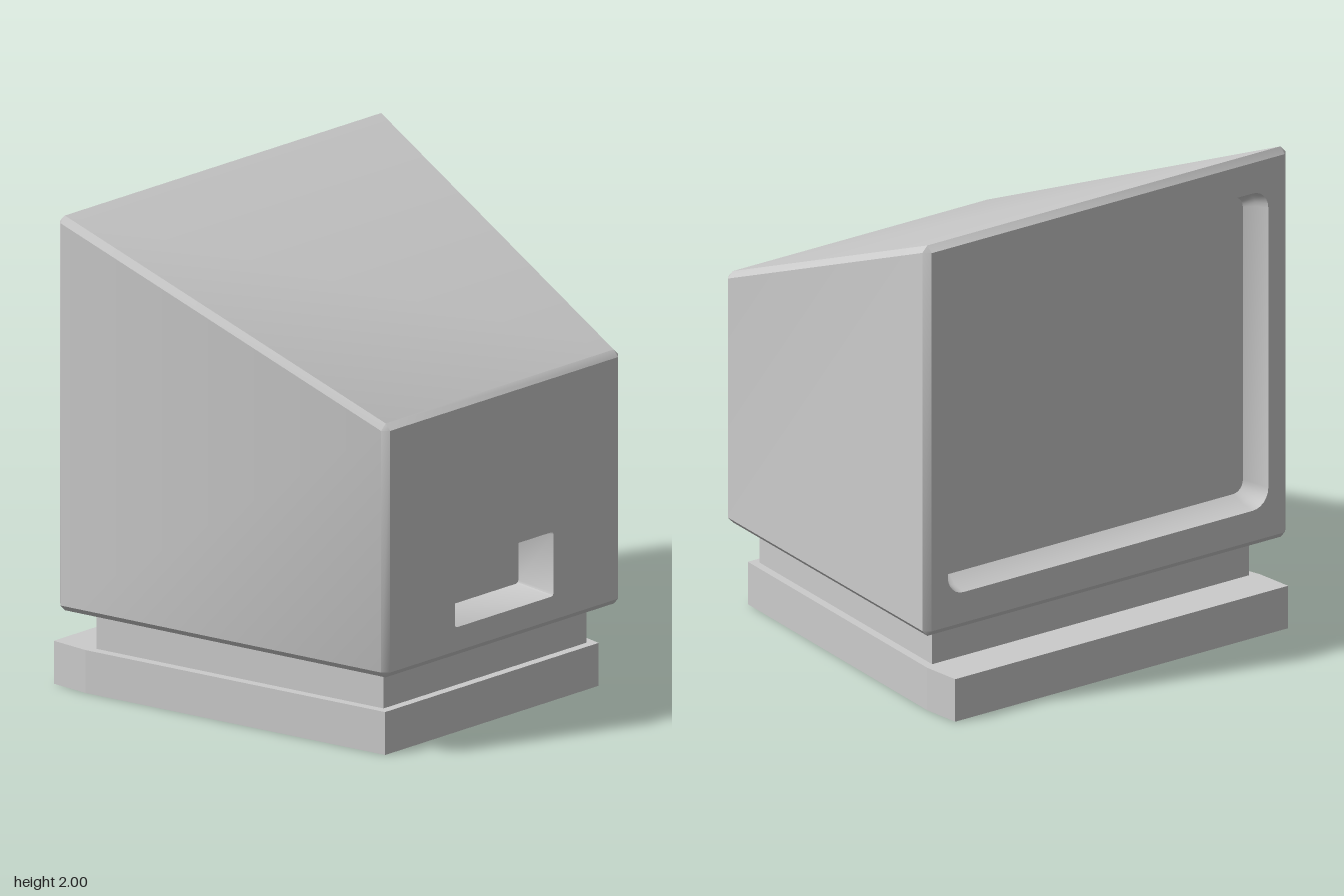
import * as THREE from 'three';
import { mergeGeometries, toCreasedNormals } from 'three/addons/utils/BufferGeometryUtils.js';

const grey = new THREE.MeshStandardMaterial({ color: 0xcccccc });

// Rectangle in (z, y) with rounded (seg > 1) or chamfered (seg = 1) corners
function rect(hz, y0, y1, r, seg = 1) {
  const pts = [];
  const corners = [[hz - r, y0 + r], [hz - r, y1 - r], [r - hz, y1 - r], [r - hz, y0 + r]];
  corners.forEach(([z, y], c) => {
    for (let i = 0; i <= seg; i++) {
      const a = (c - 1 + i / seg) * Math.PI / 2;
      pts.push(new THREE.Vector2(z + r * Math.cos(a), y + r * Math.sin(a)));
    }
  });
  return pts;
}

function fromTriangles(positions) {
  const g = new THREE.BufferGeometry();
  g.setAttribute('position', new THREE.Float32BufferAttribute(positions, 3));
  return g;
}

// Skin between sections [x, points]; increasing x faces outward, decreasing x inward
function loft(...sections) {
  const out = [];
  for (let s = 0; s + 1 < sections.length; s++) {
    const [xa, A] = sections[s], [xb, B] = sections[s + 1];
    for (let i = 0; i < A.length; i++) {
      const j = (i + 1) % A.length;
      const a = [xa, A[i].y, A[i].x], a2 = [xa, A[j].y, A[j].x];
      const b = [xb, B[i].y, B[i].x], b2 = [xb, B[j].y, B[j].x];
      if (B[i].distanceTo(B[j]) > 1e-5) out.push(...a, ...b, ...b2);
      if (A[i].distanceTo(A[j]) > 1e-5) out.push(...a, ...b2, ...a2);
    }
  }
  return fromTriangles(out);
}

// Flat panel at x with an optional hole, facing -x or +x
function panel(x, outline, hole, facing) {
  const shape = new THREE.Shape(outline);
  if (hole) shape.holes.push(new THREE.Path(hole));
  const g = new THREE.ShapeGeometry(shape).toNonIndexed();
  const p = g.attributes.position, out = [];
  for (let t = 0; t < p.count; t += 3) {
    for (const k of facing < 0 ? [0, 1, 2] : [0, 2, 1]) out.push(x, p.getY(t + k), p.getX(t + k));
  }
  return fromTriangles(out);
}

// Horizontal slab from a plan half-outline of [x, halfWidth] points
function slab(half, y0, y1) {
  const pts = [...half.map(([x, z]) => new THREE.Vector2(x, -z)),
    ...[...half].reverse().map(([x, z]) => new THREE.Vector2(x, z))];
  const g = new THREE.ExtrudeGeometry(new THREE.Shape(pts), { depth: y1 - y0, bevelEnabled: false });
  return g.rotateX(-Math.PI / 2).translate(0, y0, 0);
}

export function createModel() {
  const model = new THREE.Group();
  const add = (name, geometry) => {
    const mesh = new THREE.Mesh(geometry, grey);
    mesh.name = name;
    model.add(mesh);
  };

  // Tapered housing with chamfered edges, a screen opening and a rear pocket
  const c = 0.026;
  const frontEnd = rect(0.94 - c, 0.345 + c, 2 - c, 0);
  const backEnd = rect(0.685 - c, 0.345 + c, 1.41 - c, 0);
  const opening = rect(0.83, 0.5, 1.845, 0.08, 6);
  const pocketRim = rect(0.285, 0.47, 0.74, 0.012, 2);
  const pocketFloor = rect(0.265, 0.49, 0.72, 0.012, 2);
  const housing = mergeGeometries([
    loft([-0.75, frontEnd], [-0.724, rect(0.94, 0.345, 2, c)],
      [0.8, rect(0.685, 0.345, 1.41, c)], [0.825, backEnd]),
    panel(-0.75, frontEnd, opening, -1),
    panel(0.825, backEnd, pocketRim, 1),
    loft([0.825, pocketRim], [0.65, pocketFloor]),
    panel(0.65, pocketFloor, null, 1),
  ]);
  add('housing', toCreasedNormals(housing, 0.68));

  // Stepped bezel running in from the opening to the screen
  const glass = rect(0.785, 0.545, 1.8, 0.05, 6);
  add('screenBezel', toCreasedNormals(
    loft([-0.645, glass], [-0.69, rect(0.815, 0.515, 1.83, 0.07, 6)], [-0.75, opening]).scale(1, 1, 1), 0.5));
  const screen = panel(-0.645, glass, null, -1);
  screen.computeVertexNormals();
  add('screen', screen);

  // Neck and foot follow the taper of the housing
  add('neck', slab([[-0.64, 0.82], [0.72, 0.587]], 0.18, 0.346));
  add('foot', slab([[-0.835, 0.862], [-0.66, 0.862], [0.757, 0.617]], 0, 0.18));
  return model;
}
